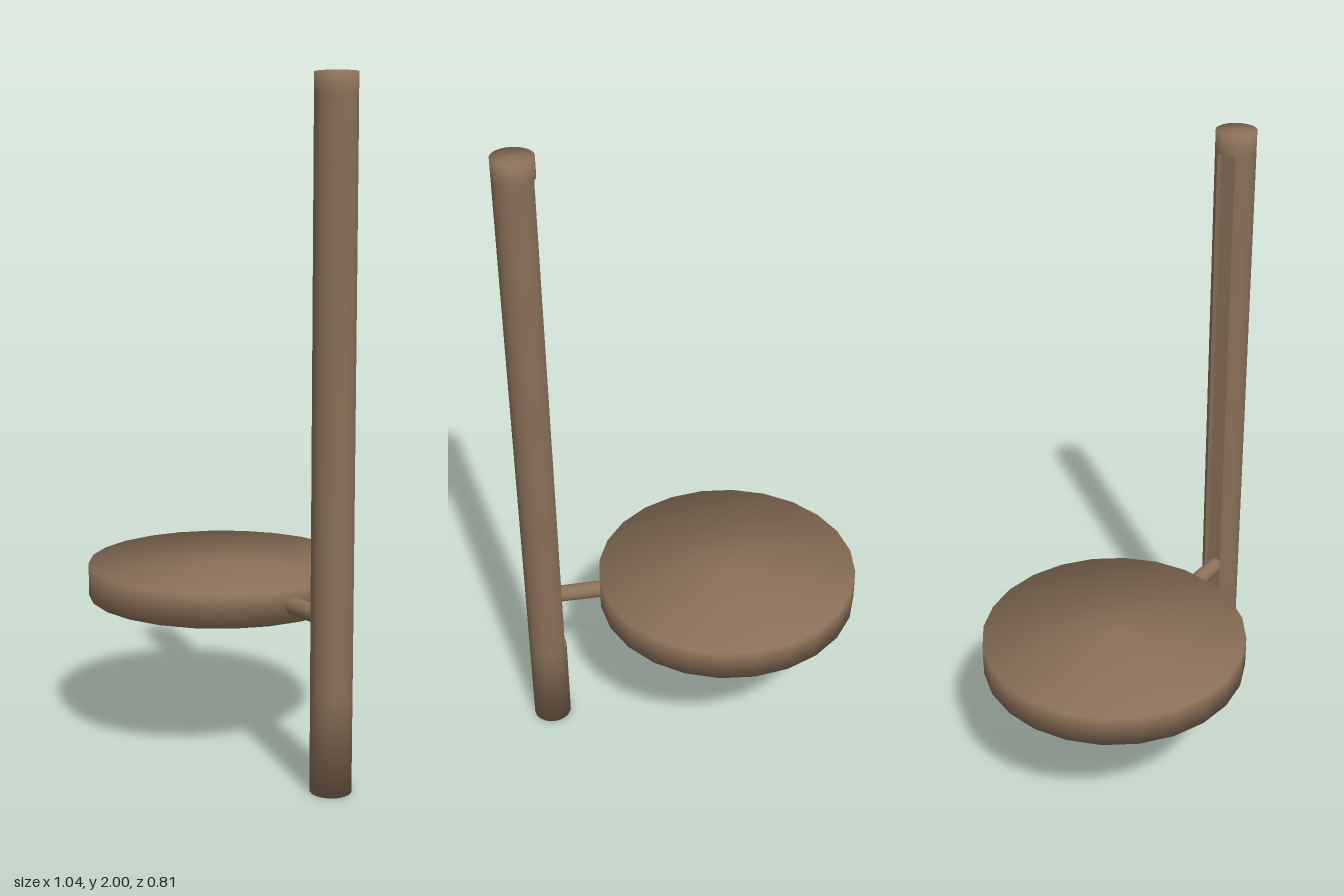
import * as THREE from 'three';

const wood = new THREE.MeshStandardMaterial({ color: 0x8a7059 });
wood.name = 'brown wood';

// Cylinder whose chosen ends share one smooth normal between wall and cap
function softCylinder(radius, height, sides, softTop, softBottom, turn = 0) {
  const g = new THREE.CylinderGeometry(radius, radius, height, sides, 1, false, turn);
  const p = g.attributes.position, n = g.attributes.normal;
  for (let i = 0; i < p.count; i++) {
    const top = p.getY(i) > 0;
    if (!(top ? softTop : softBottom)) continue;
    const v = new THREE.Vector3(p.getX(i) / radius, top ? 1 : -1, p.getZ(i) / radius).normalize();
    n.setXYZ(i, v.x, v.y, v.z);
  }
  return g;
}

// Post section with a square groove along its -x side
function groovedPost(radius, height, halfWidth, floor) {
  const w = Math.asin(halfWidth / radius);
  const s = new THREE.Shape();
  s.absarc(0, 0, radius, -Math.PI + w, Math.PI - w, false);
  s.lineTo(-floor, halfWidth);
  s.lineTo(-floor, -halfWidth);
  s.closePath();
  const g = new THREE.ExtrudeGeometry(s, { depth: height, bevelEnabled: false, curveSegments: 28 });
  g.rotateX(-Math.PI / 2);
  // Round the shading of the outer wall only
  const p = g.attributes.position, n = g.attributes.normal;
  for (let i = 0; i < p.count; i++) {
    const x = p.getX(i) / radius, z = p.getZ(i) / radius;
    if (n.getX(i) * x + n.getZ(i) * z > 0.95) n.setXYZ(i, x, 0, z);
  }
  return g;
}

function add(parent, name, geometry, x, y, z) {
  const m = new THREE.Mesh(geometry, wood);
  m.name = name;
  m.position.set(x, y, z);
  parent.add(m);
  return m;
}

export function createModel() {
  const model = new THREE.Group();
  model.name = 'postWithDisc';

  const R = 0.06, low = 0.29, high = 1.94;

  // Post, turned so that its groove faces along the arm
  const post = new THREE.Group();
  post.name = 'post';
  post.position.set(0.46, 0, 0.106);
  post.rotation.y = -0.144;
  model.add(post);
  add(post, 'postFoot', softCylinder(R, low, 32, false, true), 0, low / 2, 0);
  add(post, 'groovedShaft', groovedPost(R, high - low, 0.03, 0.03), 0, low, 0);
  add(post, 'postTop', softCylinder(R, 2 - high, 32, true, false), 0, (2 + high) / 2, 0);

  // Arm running from the groove into the disc
  const arm = add(post, 'arm', new THREE.CylinderGeometry(0.026, 0.026, 0.22, 24), -0.13, 0.5, 0);
  arm.rotation.z = Math.PI / 2;

  // Round flat disc
  add(model, 'disc', softCylinder(0.411, 0.1, 24, true, true, Math.PI / 24), -0.117, 0.5, 0);

  return model;
}
